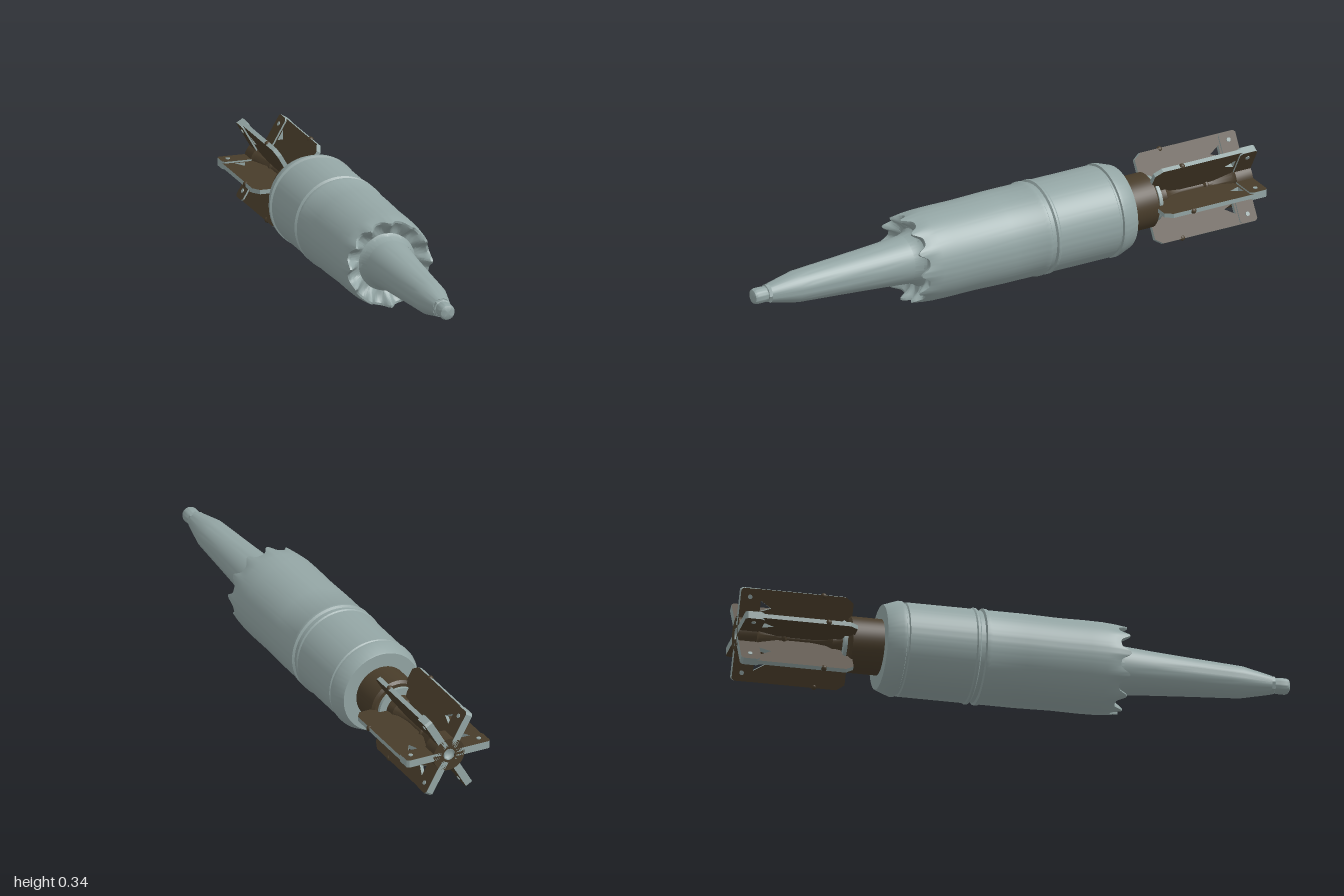
import * as THREE from 'three';
import { toCreasedNormals } from 'three/addons/utils/BufferGeometryUtils.js';

const AXIS_Y = 0.172;

export function createModel() {
  const model = new THREE.Group();
  model.name = 'finnedProjectile';
  const assembly = new THREE.Group();
  assembly.name = 'assembly';
  assembly.position.y = AXIS_Y;
  model.add(assembly);

  const grey = new THREE.MeshStandardMaterial({ color: 0x93a5a4 });
  grey.name = 'blueGreyPaint';
  const brown = new THREE.MeshStandardMaterial({ color: 0x483c2a });
  brown.name = 'darkBronze';

  const add = (name, geometry, material, parent = assembly) => {
    const mesh = new THREE.Mesh(geometry, material);
    mesh.name = name;
    parent.add(mesh);
    return mesh;
  };
  // Profile of [radius, z] pairs, listed from the rear to the front
  const turn = (profile, segments) => {
    const points = profile.map(([r, z]) => new THREE.Vector2(r, z));
    return new THREE.LatheGeometry(points, segments).rotateX(Math.PI / 2);
  };

  // Main casing, with a crimped ring of twelve teeth at its front lip
  const casing = turn([
    [0.095, -0.483], [0.15, -0.483], [0.153, -0.478], [0.17, -0.43], [0.17, -0.418],
    [0.162, -0.415], [0.162, -0.408], [0.167, -0.404], [0.167, -0.165], [0.171, -0.16],
    [0.171, -0.152], [0.163, -0.147], [0.163, -0.132], [0.171, -0.127], [0.171, -0.115],
    [0.167, -0.108], [0.167, 0.02], [0.164, 0.15], [0.165, 0.25], [0.164, 0.31],
    [0.161, 0.34], [0.155, 0.367], [0.147, 0.367], [0.136, 0.358], [0.12, 0.348],
    [0.105, 0.345], [0.095, 0.355], [0.088, 0.385],
  ], 144);
  const p = casing.attributes.position;
  for (let i = 0; i < p.count; i++) {
    const x = p.getX(i), y = p.getY(i), z = p.getZ(i);
    if (z < 0.335) continue;
    const r = Math.hypot(x, y);
    const tooth = Math.pow(0.5 + 0.5 * Math.cos(12 * Math.atan2(y, x)), 2);
    const lip = THREE.MathUtils.smoothstep(r, 0.1, 0.147) * (r > 0.158 ? 0.4 : 1);
    p.setZ(i, z + lip * (0.036 * tooth - 0.007));
  }
  add('casing', toCreasedNormals(casing, 0.6), grey);

  // Long tapered nose with a small fuze tip
  add('noseProbe', toCreasedNormals(turn([
    [0.092, 0.34], [0.086, 0.4], [0.078, 0.5], [0.068, 0.65], [0.06, 0.78],
    [0.057, 0.825], [0.034, 0.932],
  ], 48), 0.3), grey);
  add('fuzeCollar', toCreasedNormals(turn([[0.034, 0.93], [0.033, 0.943], [0.027, 0.946]], 8), 0.3), grey);
  add('fuzeTip', toCreasedNormals(turn([
    [0.027, 0.94], [0.029, 0.96], [0.029, 0.985], [0.025, 0.995], [0.014, 1], [0, 1],
  ], 32), 0.7), grey);

  // Tail neck and waisted boom, ending in the rear hub
  add('tailNeck', toCreasedNormals(turn([
    [0, -0.605], [0.09, -0.605], [0.1, -0.597], [0.1, -0.47],
  ], 48), 0.5), brown);
  add('tailBoom', toCreasedNormals(turn([
    [0.022, -1], [0.062, -1], [0.062, -0.935], [0.052, -0.925], [0.03, -0.86],
    [0.028, -0.84], [0.033, -0.835], [0.033, -0.828], [0.026, -0.82], [0.026, -0.73],
    [0.036, -0.68], [0.05, -0.66], [0.05, -0.645], [0.06, -0.6],
  ], 36), 0.5), brown);
  add('hubSocket', turn([[0, -0.985], [0.022, -0.985], [0.022, -1.0]], 6), grey);
  grey.side = THREE.DoubleSide;
  add('retainingRing', toCreasedNormals(turn([
    [0.05, -0.625], [0.082, -0.625], [0.082, -0.612], [0.05, -0.612],
  ], 36), 0.5), grey);

  // One fin outline in (radius, z), with a small triangular opening near the rear
  const outline = new THREE.Shape([
    [0.02, -0.99], [0.155, -0.99], [0.165, -0.98], [0.165, -0.62], [0.145, -0.592],
    [0.085, -0.592], [0.085, -0.62], [0.02, -0.64],
  ].map(([r, z]) => new THREE.Vector2(r, z)));
  outline.holes.push(new THREE.Path([
    [0.085, -0.925], [0.125, -0.925], [0.1, -0.885],
  ].map(([r, z]) => new THREE.Vector2(r, z))));
  const plate = (shape, thickness) =>
    new THREE.ExtrudeGeometry(shape, { depth: thickness, bevelEnabled: false })
      .translate(0, 0, -thickness / 2).rotateX(Math.PI / 2);
  const finGeometry = plate(outline, 0.016);

  // Thicker tab across the rear of each fin
  const tabShape = new THREE.Shape([
    [0.03, -1], [0.157, -1], [0.165, -0.992], [0.165, -0.942], [0.157, -0.932], [0.03, -0.932],
  ].map(([r, z]) => new THREE.Vector2(r, z)));
  const tabGeometry = plate(tabShape, 0.028);
  const pinGeometry = new THREE.CylinderGeometry(0.008, 0.008, 0.034, 12);
  const studGeometry = new THREE.SphereGeometry(0.011, 12, 8);

  // Six fins around the boom, bronze faces with painted edges
  for (let i = 0; i < 6; i++) {
    const fin = new THREE.Group();
    fin.name = `tailFin${i + 1}`;
    fin.rotation.z = (i * Math.PI) / 3;
    add('finPlate', finGeometry, [brown, grey], fin);
    add('finTab', tabGeometry, [brown, grey], fin);
    add('finPin', pinGeometry, grey, fin).position.set(0.135, 0, -0.966);
    add('finStud', studGeometry, brown, fin).position.set(0.161, 0, -0.7);
    assembly.add(fin);
  }
  return model;
}
